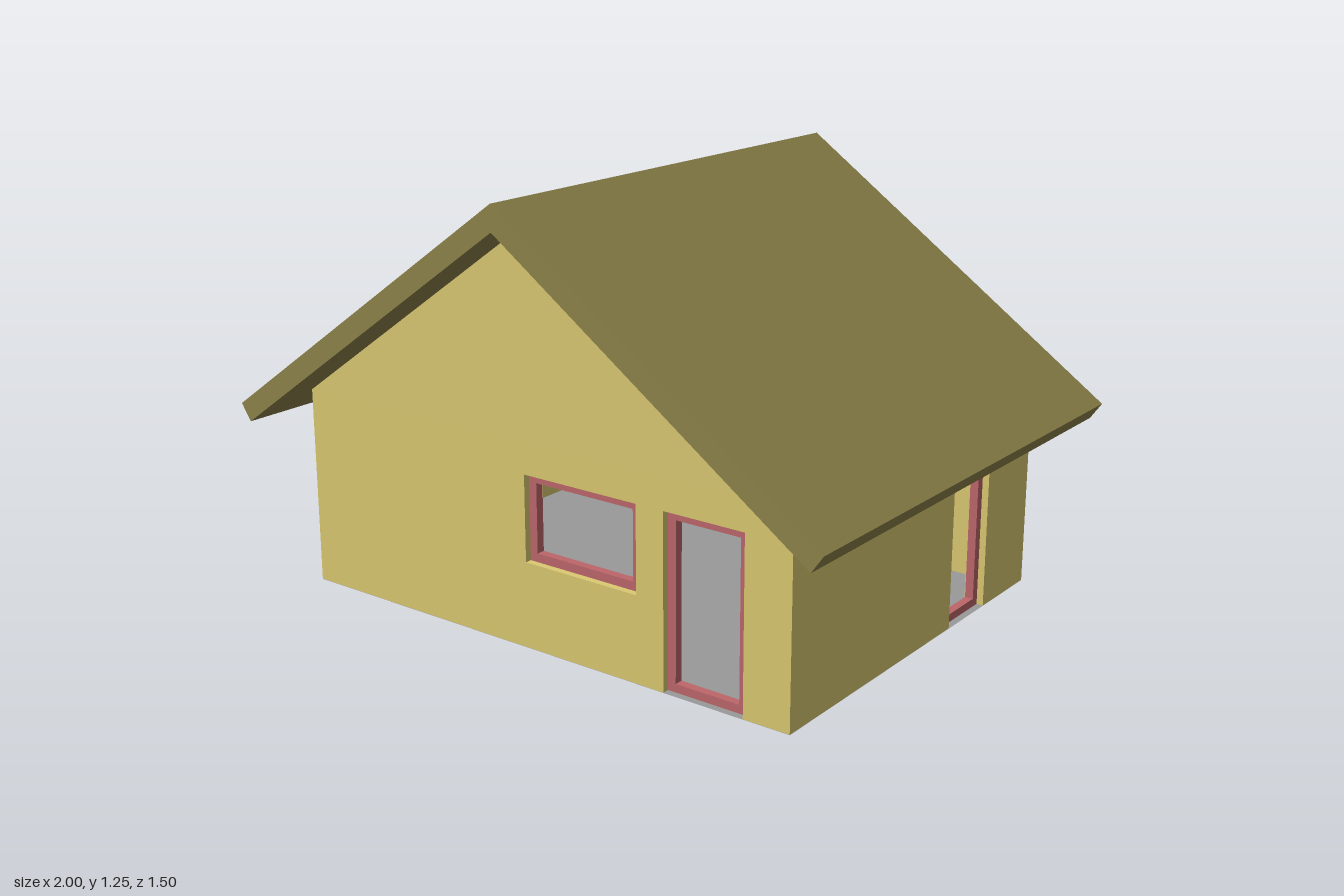
import * as THREE from 'three';

const W = 0.836, D = 0.625;          // half width and half depth of the walls
const T = 0.06;                      // wall and roof thickness
const SLOPE = 0.7, RIDGE = 1.25;
const UNDER = RIDGE - T * Math.hypot(1, SLOPE); // underside of the ridge
const EAVE = UNDER - SLOPE * W;      // wall height under the roof
const BASE = 0.001;                  // walls rest just above the floor sheet
const FRAME = 0.025, RECESS = 0.02;

const paint = (color) => new THREE.MeshStandardMaterial({ color });
const wallMat = paint(0xdbc972), roofMat = paint(0x8f844c), frameMat = paint(0xbd666a);
const floorMat = paint(0x999999);
floorMat.side = THREE.DoubleSide;

const toShape = (pts) => new THREE.Shape(pts.map(([x, y]) => new THREE.Vector2(x, y)));
const rect = (x0, x1, y0, y1) => [[x0, y0], [x1, y0], [x1, y1], [x0, y1]];

function extrude(shape, depth, material, name) {
  const geo = new THREE.ExtrudeGeometry(shape, { depth, bevelEnabled: false });
  const mesh = new THREE.Mesh(geo, material);
  mesh.name = name;
  return mesh;
}

// A wall facing local +z with its outer face at z = 0; openings are [x0, x1, y0, y1]
function makeWall(name, half, gable, openings) {
  const group = new THREE.Group();
  group.name = name;

  // Openings reaching the floor notch the outline, the others are holes
  const outline = [[-half, BASE]];
  for (const [x0, x1, y0, y1] of openings) {
    if (y0 === 0) outline.push([x0, BASE], [x0, y1], [x1, y1], [x1, BASE]);
  }
  outline.push([half, BASE], [half, EAVE]);
  if (gable) outline.push([0, UNDER]);
  outline.push([-half, EAVE]);
  const shape = toShape(outline);
  for (const o of openings) if (o[2] > 0) shape.holes.push(toShape(rect(...o)));

  const wall = extrude(shape, T, wallMat, name + 'Panel');
  wall.geometry.translate(0, 0, -T);
  if (!gable) {
    // Slant the top of the side walls to meet the roof
    const pos = wall.geometry.attributes.position;
    for (let i = 0; i < pos.count; i++) {
      if (pos.getY(i) > EAVE - 0.01 && pos.getZ(i) < -T / 2) pos.setY(i, EAVE + SLOPE * T);
    }
    wall.geometry.computeVertexNormals();
  }
  group.add(wall);

  // Recessed frame in every opening
  for (const [x0, x1, y0, y1] of openings) {
    const bottom = Math.max(y0, BASE);
    const ring = toShape(rect(x0, x1, bottom, y1));
    ring.holes.push(toShape(rect(x0 + FRAME, x1 - FRAME, y0 + FRAME, y1 - FRAME)));
    const frame = extrude(ring, FRAME, frameMat, y0 > 0 ? 'windowFrame' : 'doorFrame');
    frame.position.z = -RECESS - FRAME;
    group.add(frame);
  }
  return group;
}

export function createModel() {
  const house = new THREE.Group();
  house.name = 'house';

  // Gable walls
  const front = makeWall('frontWall', W, true, [[-0.02, 0.357, 0.25, 0.5], [0.445, 0.695, 0, 0.5]]);
  front.position.z = D;
  const back = makeWall('backWall', W, true, [[-0.332, 0.27, 0, 0.5]]);
  back.position.z = -D;
  back.rotation.y = Math.PI;

  // Side walls fit between the gables
  const left = makeWall('leftWall', D - T, false, [[0.18, 0.382, 0, 0.5]]);
  left.position.x = W;
  left.rotation.y = Math.PI / 2;
  const right = makeWall('rightWall', D - T, false, [[-0.31, -0.11, 0, 0.5]]);
  right.position.x = -W;
  right.rotation.y = -Math.PI / 2;

  // Pitched roof with square-cut eaves
  const n = Math.hypot(1, SLOPE);
  const ex = 1 - T * SLOPE / n, ey = RIDGE - SLOPE - T / n;
  const roof = extrude(toShape([
    [0, RIDGE], [-1, RIDGE - SLOPE], [-ex, ey], [0, UNDER], [ex, ey], [1, RIDGE - SLOPE],
  ]), 1.5, roofMat, 'roof');
  roof.position.z = -0.75;

  // Floor sheet
  const floor = new THREE.Mesh(new THREE.PlaneGeometry(2 * W, 2 * D), floorMat);
  floor.name = 'floor';
  floor.rotation.x = -Math.PI / 2;

  house.add(front, back, left, right, roof, floor);
  return house;
}
